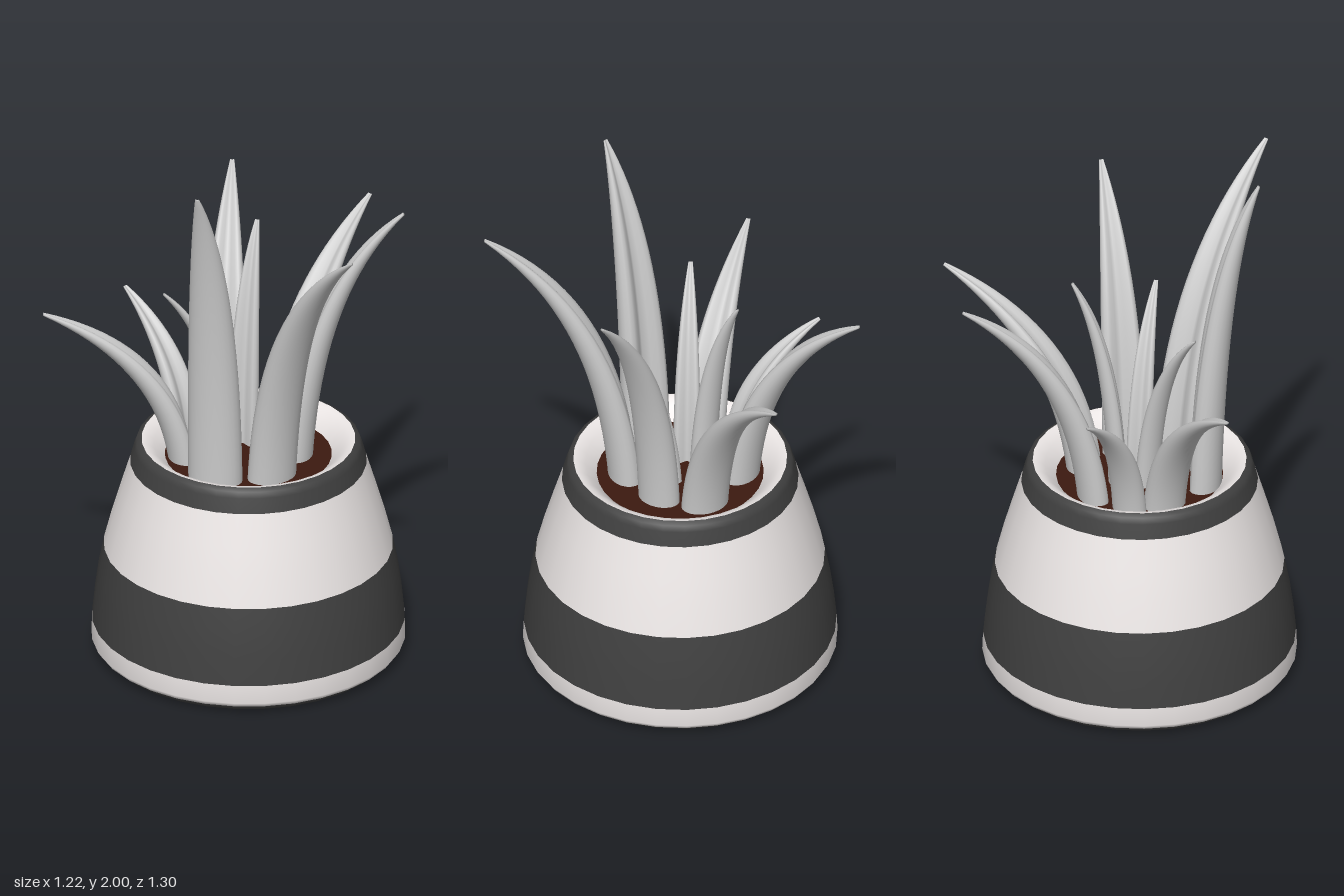
import * as THREE from 'three';

const mat = (color, side = THREE.FrontSide) => new THREE.MeshStandardMaterial({ color, side, roughness: 0.8 });
const POT_Z = 0.08;

// One leaf: a grooved crescent section swept along an outward bending curve.
function leafGeometry([bx, bz, tx, ty, tz, w]) {
  const by = 0.74, rows = 20, cols = 24;
  const base = new THREE.Vector3(bx, by, bz), tip = new THREE.Vector3(tx, ty, tz);
  const bend = new THREE.Vector3(bx + (tx - bx) * 0.1, by + (ty - by) * 0.69, bz + (tz - bz) * 0.1);
  const curve = new THREE.QuadraticBezierCurve3(base, bend, tip);
  const outDir = new THREE.Vector3(tx - bx, 0, tz - bz).normalize();
  const across = new THREE.Vector3(0, 1, 0).cross(outDir);
  const pos = [], idx = [];
  for (let i = 0; i <= rows; i++) {
    const t = i / rows;
    const p = curve.getPoint(t);
    const back = curve.getTangent(t).cross(across).negate();
    if (back.dot(outDir) < 0) back.negate();
    const half = (w - 0.008) * (1 - t * t) + 0.008;
    for (let j = 0; j < cols; j++) {
      const a = (j / cols) * Math.PI * 2;
      // Rounded back, two lips and a groove on the inner face.
      const v = Math.sin(a) >= 0 ? 0.75 * Math.sin(a) : -0.4 * Math.pow(Math.abs(Math.sin(2 * a)), 1.3);
      const q = p.clone().addScaledVector(across, half * Math.cos(a)).addScaledVector(back, half * v);
      pos.push(q.x, q.y, q.z);
    }
  }
  for (let i = 0; i < rows; i++) {
    for (let j = 0; j < cols; j++) {
      const a = i * cols + j, b = i * cols + (j + 1) % cols;
      idx.push(a, a + cols, b, b, a + cols, b + cols);
    }
  }
  // Close the tip.
  const end = pos.length / 3, last = rows * cols;
  pos.push(tx, ty, tz);
  for (let j = 0; j < cols; j++) idx.push(last + j, end, last + (j + 1) % cols);
  const g = new THREE.BufferGeometry();
  g.setAttribute('position', new THREE.Float32BufferAttribute(pos, 3));
  g.setIndex(idx);
  g.computeVertexNormals();
  return g;
}

export function createModel() {
  const model = new THREE.Group();
  model.name = 'pottedPlant';

  // Pot, built as stacked bands of a turned profile
  const pot = new THREE.Group();
  pot.name = 'pot';
  pot.position.z = POT_Z;
  const white = mat(0xece7e6), dark = mat(0x404040);
  const bands = [
    ['potBottom', white, [[0, 0], [0.505, 0]]],
    ['foot', dark, [[0.505, 0], [0.525, 0.008], [0.535, 0.03]]],
    ['lowerWhiteBand', white, [[0.535, 0.03], [0.555, 0.034], [0.565, 0.05], [0.562, 0.12]]],
    ['darkStripe', dark, [[0.562, 0.12], [0.552, 0.22], [0.538, 0.32], [0.52, 0.41]]],
    ['upperWhiteBand', white, [[0.52, 0.41], [0.492, 0.52], [0.46, 0.63], [0.425, 0.745]]],
    ['rim', dark, [[0.425, 0.745], [0.41, 0.8], [0.402, 0.822], [0.384, 0.832]]],
    ['innerWall', white, [[0.384, 0.832], [0.365, 0.828], [0.34, 0.81], [0.3, 0.77], [0.29, 0.74]]],
  ];
  for (const [name, material, profile] of bands) {
    const points = profile.map(([r, y]) => new THREE.Vector2(r, y));
    const band = new THREE.Mesh(new THREE.LatheGeometry(points, 32), material);
    band.name = name;
    pot.add(band);
  }
  const soil = new THREE.Mesh(new THREE.CircleGeometry(0.305, 32).rotateX(-Math.PI / 2), mat(0x3c1a10));
  soil.name = 'soil';
  soil.position.y = 0.77;
  pot.add(soil);
  model.add(pot);

  // Leaves: base x, base z, tip x, tip y, tip z, half width
  const leaves = new THREE.Group();
  leaves.name = 'leaves';
  const outer = [
    [0.04, -0.12, 0.11, 1.51, -0.65, 0.09],
    [-0.17, -0.05, -0.37, 1.6, -0.5, 0.085],
    [0.15, 0.0, 0.51, 1.76, -0.145, 0.08],
    [0.15, 0.19, 0.605, 1.85, 0.44, 0.095],
    [-0.015, 0.305, 0.018, 2.0, 0.51, 0.1],
    [-0.19, 0.2, -0.61, 1.38, 0.5, 0.08],
    [-0.24, 0.085, -0.55, 1.27, -0.015, 0.065],
  ];
  const inner = [
    [-0.055, 0.02, -0.085, 1.59, -0.15, 0.057],
    [0.04, 0.07, 0.27, 1.42, 0.095, 0.047],
    [-0.055, 0.115, -0.218, 1.47, 0.315, 0.05],
  ];
  const green = mat(0xcccccc, THREE.DoubleSide);
  for (const [name, list] of [['outerLeaf', outer], ['innerLeaf', inner]]) {
    for (const spec of list) {
      const leaf = new THREE.Mesh(leafGeometry(spec), green);
      leaf.name = name;
      leaves.add(leaf);
    }
  }
  model.add(leaves);
  return model;
}
